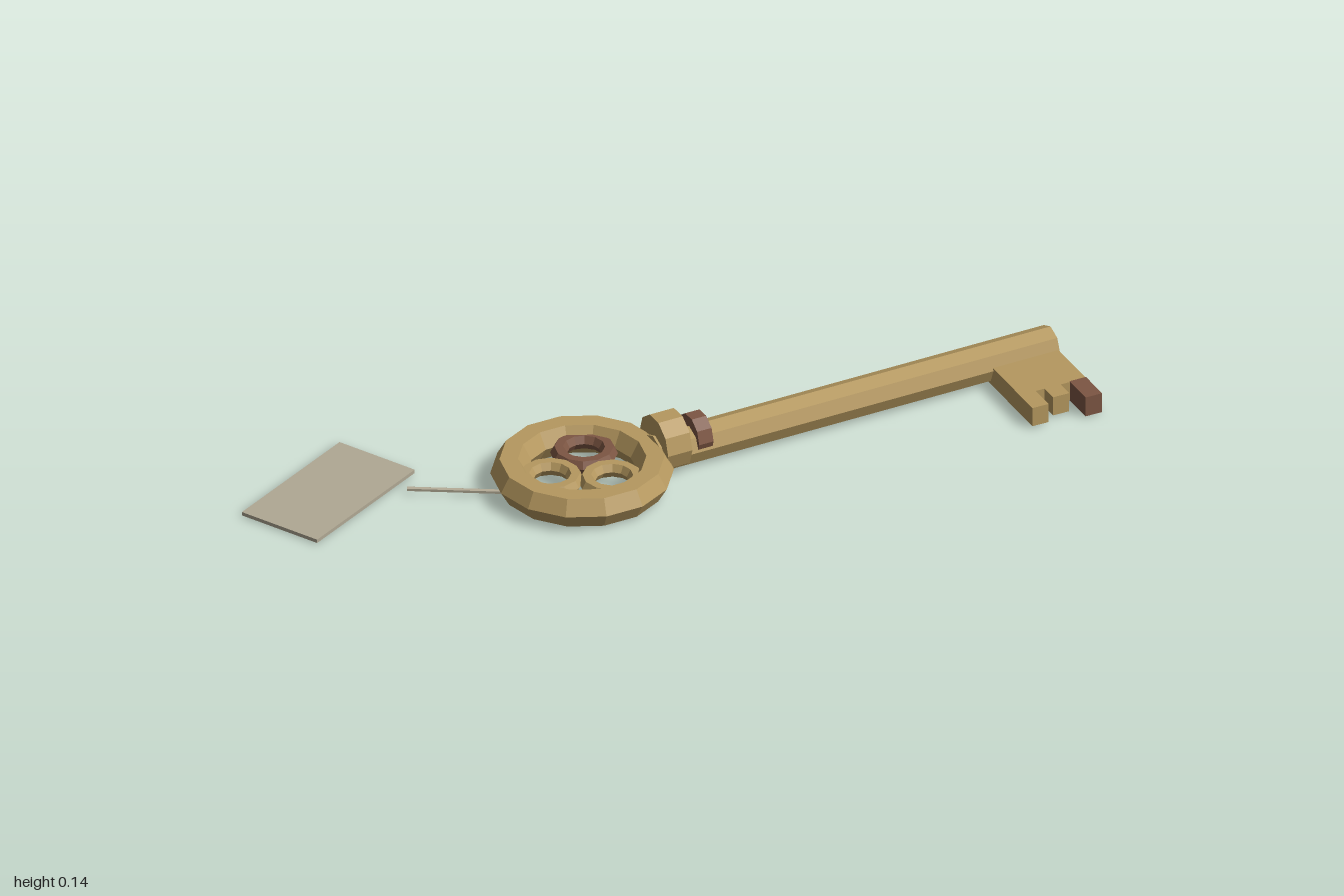
import * as THREE from 'three';

export function createModel() {
  const model = new THREE.Group();
  model.name = 'keyWithTag';

  const material = (name, color) => {
    const m = new THREE.MeshStandardMaterial({ color });
    m.name = name;
    return m;
  };
  const brass = material('brass', 0xb5985f);
  const copper = material('copperBrown', 0x7d5643);
  const paper = material('paperGrey', 0xb0a893);

  // Faceted mesh helper
  const add = (name, geometry, mat, x, y, z, turn = 0) => {
    const flat = geometry.toNonIndexed();
    flat.computeVertexNormals();
    const mesh = new THREE.Mesh(flat, mat);
    mesh.name = name;
    mesh.position.set(x, y, z);
    mesh.rotation.y = turn;
    model.add(mesh);
    return mesh;
  };
  const rod = (radius, length, sides) =>
    new THREE.CylinderGeometry(radius, radius, length, sides).rotateZ(-Math.PI / 2);
  const ring = (radius, tube, sides, segments) =>
    new THREE.TorusGeometry(radius, tube, sides, segments).rotateX(Math.PI / 2);

  // Bow: large ring with a trefoil of three small rings
  const tilt = 0.024;
  const bowX = -0.235, bowZ = 0.085, midY = 0.043;
  add('bowRing', ring(0.171, 0.043, 6, 14), brass, bowX, midY, bowZ, tilt);
  for (let i = 0; i < 3; i++) {
    const a = Math.PI / 3 + (i * Math.PI * 2) / 3;
    add('trefoilRing' + (i + 1), ring(0.059, 0.02, 6, 12), i === 2 ? copper : brass,
      bowX + 0.083 * Math.cos(a), midY, bowZ + 0.083 * Math.sin(a), tilt);
  }

  // Shaft and its two collars
  add('shaft', rod(0.047, 1.05, 8), brass, 0.47, 0.046, 0.081, tilt);
  add('largeCollar', rod(0.07, 0.064, 10), brass, -0.017, 0.069, 0.087, tilt);
  add('smallCollar', rod(0.053, 0.038, 10), copper, 0.06, 0.067, 0.087, tilt);

  // Bit with three teeth
  const block = (name, mat, x0, x1, z0, z1, y0 = 0.004, y1 = 0.053) =>
    add(name, new THREE.BoxGeometry(x1 - x0, y1 - y0, z1 - z0), mat,
      (x0 + x1) / 2, (y0 + y1) / 2, (z0 + z1) / 2);
  block('bit', brass, 0.82, 0.993, 0.07, 0.254);
  block('leftTooth', copper, 0.952, 0.995, 0.25, 0.333, 0.002);
  block('middleTooth', brass, 0.885, 0.927, 0.25, 0.298);
  block('rightTooth', brass, 0.82, 0.862, 0.25, 0.32);

  // String and paper tag
  const from = new THREE.Vector3(-0.61, 0.011, -0.075);
  const to = new THREE.Vector3(-0.40, 0.011, 0.048);
  add('string', new THREE.TubeGeometry(new THREE.LineCurve3(from, to), 1, 0.006, 6), paper, 0, 0, 0);
  add('tag', new THREE.BoxGeometry(0.39, 0.009, 0.215), paper, -0.777, 0.0055, -0.151, 0.48);

  return model;
}
